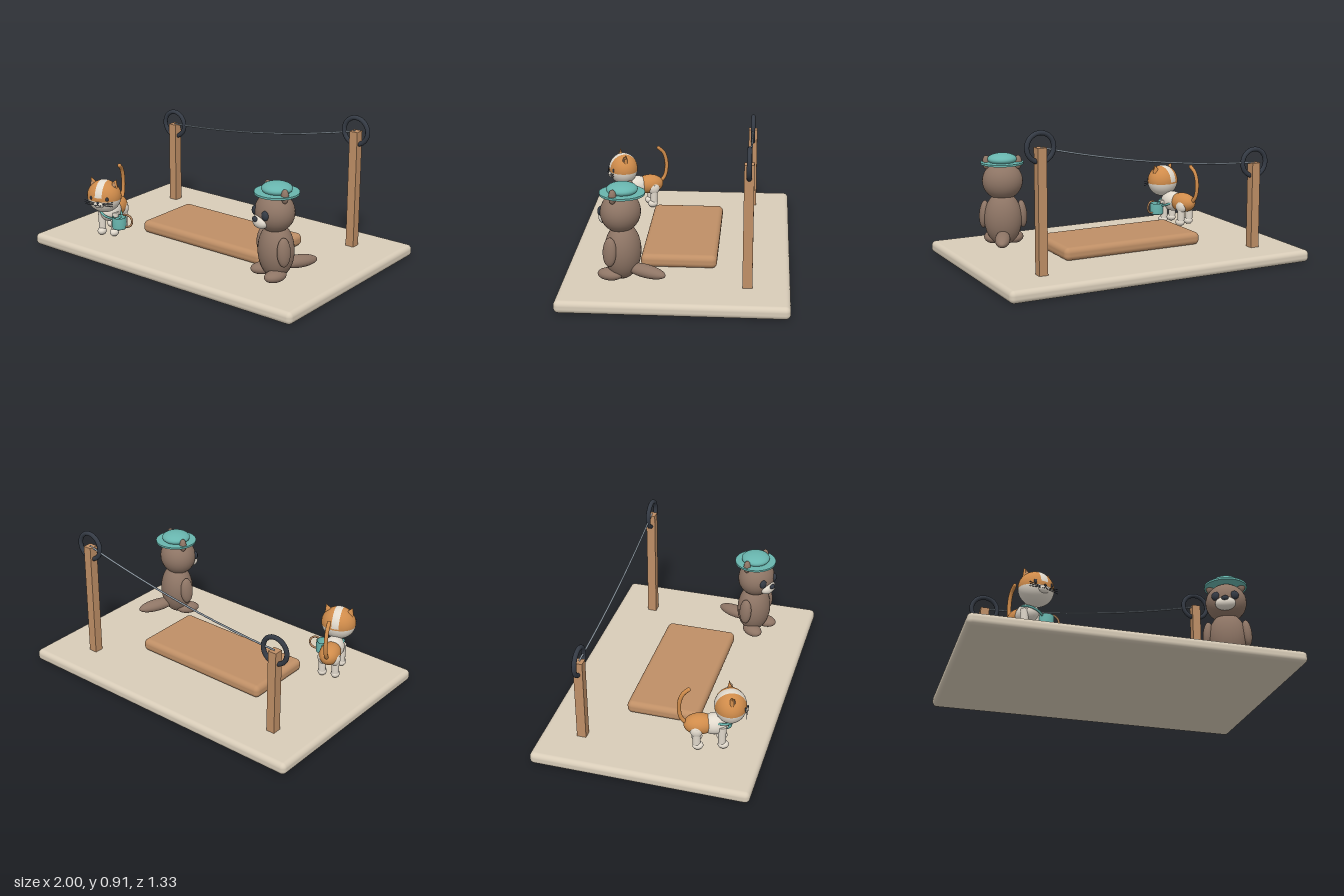
import * as THREE from 'three';
import { RoundedBoxGeometry } from 'three/addons/geometries/RoundedBoxGeometry.js';

const mat = (name, color) => {
  const m = new THREE.MeshStandardMaterial({ color });
  m.name = name;
  return m;
};

export function createModel() {
  const stone = mat('stone', 0xd8ccb8), wood = mat('wood', 0xbf8f66), iron = mat('iron', 0x343a44);
  const steel = mat('steel', 0x8a959f), brown = mat('brown fur', 0x8e7565), teal = mat('teal', 0x68b5ae);
  const orange = mat('orange fur', 0xd08c4b), cream = mat('cream fur', 0xe2dacd);

  const add = (parent, name, geo, material, x = 0, y = 0, z = 0) => {
    const m = new THREE.Mesh(geo, material);
    m.name = name;
    m.position.set(x, y, z);
    parent.add(m);
    return m;
  };
  const ball = new THREE.SphereGeometry(1, 32, 20);
  const blob = (parent, name, material, p, r, geo = ball) => {
    const m = add(parent, name, geo, material, ...p);
    m.scale.set(...r);
    return m;
  };
  const tube = (parent, name, material, points, r, n = 32) => add(parent, name,
    new THREE.TubeGeometry(new THREE.CatmullRomCurve3(points.map(p => new THREE.Vector3(...p))), n, r, 10), material);
  const sub = (parent, name, x, y, z, yaw) => {
    const g = new THREE.Group();
    g.name = name;
    g.position.set(x, y, z);
    g.rotation.y = yaw;
    parent.add(g);
    return g;
  };

  const model = new THREE.Group();
  model.name = 'scene';

  // Base slab and low platform
  add(model, 'base', new RoundedBoxGeometry(2, 0.075, 1.332, 5, 0.03), stone, 0, 0.0375, 0);
  add(model, 'platform', new RoundedBoxGeometry(0.935, 0.08, 0.455, 5, 0.032), wood, -0.003, 0.115, -0.003);

  // Posts with rings, and the sagging line between them
  for (const [x, top] of [[-0.735, 0.61], [0.705, 0.815]]) {
    add(model, 'post', new THREE.BoxGeometry(0.055, top - 0.06, 0.057), wood, x, (top + 0.06) / 2, -0.418);
    add(model, 'ring', new THREE.TorusGeometry(0.083, 0.0145, 14, 40), iron, x, top, -0.418);
  }
  const rope = [];
  for (let i = 0; i <= 8; i++) {
    const t = i / 8;
    rope.push([-0.735 + 1.44 * t, 0.61 + 0.205 * t - 0.15 * t * (1 - t), -0.418]);
  }
  tube(model, 'line', steel, rope, 0.006, 40);

  // Cat, built facing +z
  const cat = sub(model, 'cat', -0.62, 0, 0.34, 0.34);
  blob(cat, 'catRump', orange, [0, 0.235, -0.065], [0.066, 0.064, 0.095]);
  blob(cat, 'catChest', cream, [0, 0.232, 0.025], [0.064, 0.066, 0.085]);
  for (const s of [-1, 1]) {
    for (const z of [-0.085, 0.065]) {
      add(cat, 'catLeg', new THREE.CylinderGeometry(0.026, 0.022, 0.14, 20), cream, s * 0.042, 0.17, z);
      blob(cat, 'catPaw', cream, [s * 0.042, 0.107, z + 0.008], [0.028, 0.025, 0.033]);
    }
    blob(cat, 'catHaunch', cream, [s * 0.04, 0.215, -0.085], [0.032, 0.045, 0.04]);
  }
  tube(cat, 'catTail', orange, [[0, 0.24, -0.14], [0, 0.29, -0.175], [0, 0.38, -0.185],
    [0, 0.45, -0.165], [0, 0.485, -0.13]], 0.0125);
  blob(cat, 'catTailTip', orange, [0, 0.485, -0.13], [0.0125, 0.0125, 0.0125]);

  // Cat head: orange cap, cream jaw and a cream blaze over the crown
  const head = sub(cat, 'catHead', 0, 0.36, 0.115, 0);
  const size = [0.109, 0.104, 0.095], split = 1.68;
  blob(head, 'headCap', orange, [0, 0, 0], size, new THREE.SphereGeometry(1, 36, 18, 0, Math.PI * 2, 0, split));
  blob(head, 'jaw', cream, [0, 0, 0], size, new THREE.SphereGeometry(1, 36, 18, 0, Math.PI * 2, split, Math.PI - split));
  const blaze = new THREE.SphereGeometry(1.015, 24, 6, Math.PI * 0.54, Math.PI * 0.96, 1.36, 0.42);
  blaze.rotateZ(Math.PI / 2);
  blob(head, 'blaze', cream, [0, 0, 0], size, blaze);
  blob(head, 'muzzle', cream, [0, -0.03, 0.08], [0.036, 0.024, 0.024]);
  blob(head, 'catNose', iron, [0, -0.014, 0.102], [0.009, 0.007, 0.006]);
  for (const s of [-1, 1]) {
    blob(head, 'catEye', iron, [s * 0.052, 0.006, 0.079], [0.011, 0.014, 0.008]);
    tube(head, 'mouth', iron, [[0, -0.022, 0.104], [s * 0.008, -0.034, 0.104], [s * 0.02, -0.032, 0.1]], 0.002, 8);
    for (const k of [-1, 0, 1])
      tube(head, 'whisker', iron, [[s * 0.03, -0.026 + k * 0.005, 0.094], [s * 0.095, -0.022 + k * 0.014, 0.085]], 0.0018, 2);
    const ear = add(head, 'catEar', new THREE.ConeGeometry(0.036, 0.07, 20), orange, s * 0.073, 0.085, 0);
    ear.scale.z = 0.6;
    ear.rotation.z = -s * 0.38;
    const inner = add(head, 'innerEar', new THREE.ConeGeometry(0.021, 0.045, 16), wood, s * 0.072, 0.083, 0.013);
    inner.scale.z = 0.5;
    inner.rotation.z = -s * 0.38;
  }

  // Mug hanging from a strap at the cat's left side
  const strap = add(cat, 'strap', new THREE.TorusGeometry(0.07, 0.007, 10, 36), teal, 0.014, 0.235, 0.055);
  strap.rotation.set(Math.PI / 2 + 0.15, -0.4, 0);
  const mugProfile = [[0, 0], [0.043, 0], [0.045, 0.004], [0.045, 0.074], [0.039, 0.074], [0.039, 0.008], [0, 0.008]];
  add(cat, 'mug', new THREE.LatheGeometry(mugProfile.map(p => new THREE.Vector2(...p)), 28), teal, 0.087, 0.147, 0.093);
  const handle = add(cat, 'mugHandle', new THREE.TorusGeometry(0.04, 0.0065, 10, 28, Math.PI * 1.25), wood, 0.135, 0.2, 0.093);
  handle.rotation.z = -Math.PI * 0.6;

  // Otter, built facing +z
  const otter = sub(model, 'otter', 0.643, 0, 0.307, -0.42);
  blob(otter, 'otterBody', brown, [0, 0.255, 0], [0.118, 0.17, 0.104]);
  blob(otter, 'otterHead', brown, [0, 0.492, 0.012], [0.126, 0.12, 0.115]);
  blob(otter, 'otterTail', brown, [0, 0.155, -0.15], [0.047, 0.038, 0.13]).rotation.x = -0.06;
  blob(otter, 'otterMuzzle', cream, [0, 0.448, 0.105], [0.062, 0.042, 0.042]);
  blob(otter, 'otterNose', iron, [0, 0.468, 0.143], [0.022, 0.016, 0.013]);
  for (const s of [-1, 1]) {
    blob(otter, 'otterEye', iron, [s * 0.056, 0.498, 0.108], [0.027, 0.029, 0.019]);
    blob(otter, 'otterEar', brown, [s * 0.098, 0.61, 0.005], [0.024, 0.043, 0.022]);
    const arm = blob(otter, 'otterArm', brown, [s * 0.118, 0.28, 0.018], [0.031, 0.087, 0.042]);
    arm.rotation.z = s * 0.08;
    blob(otter, 'otterFoot', brown, [s * 0.072, 0.125, 0.045], [0.05, 0.036, 0.075]).rotation.y = s * 0.2;
  }

  // Flat brimmed hat
  add(otter, 'hatBrim', new THREE.CylinderGeometry(0.132, 0.132, 0.012, 40), teal, 0, 0.607, 0);
  blob(otter, 'hatCrown', teal, [0, 0.631, 0], [0.091, 0.037, 0.091]);

  return model;
}
